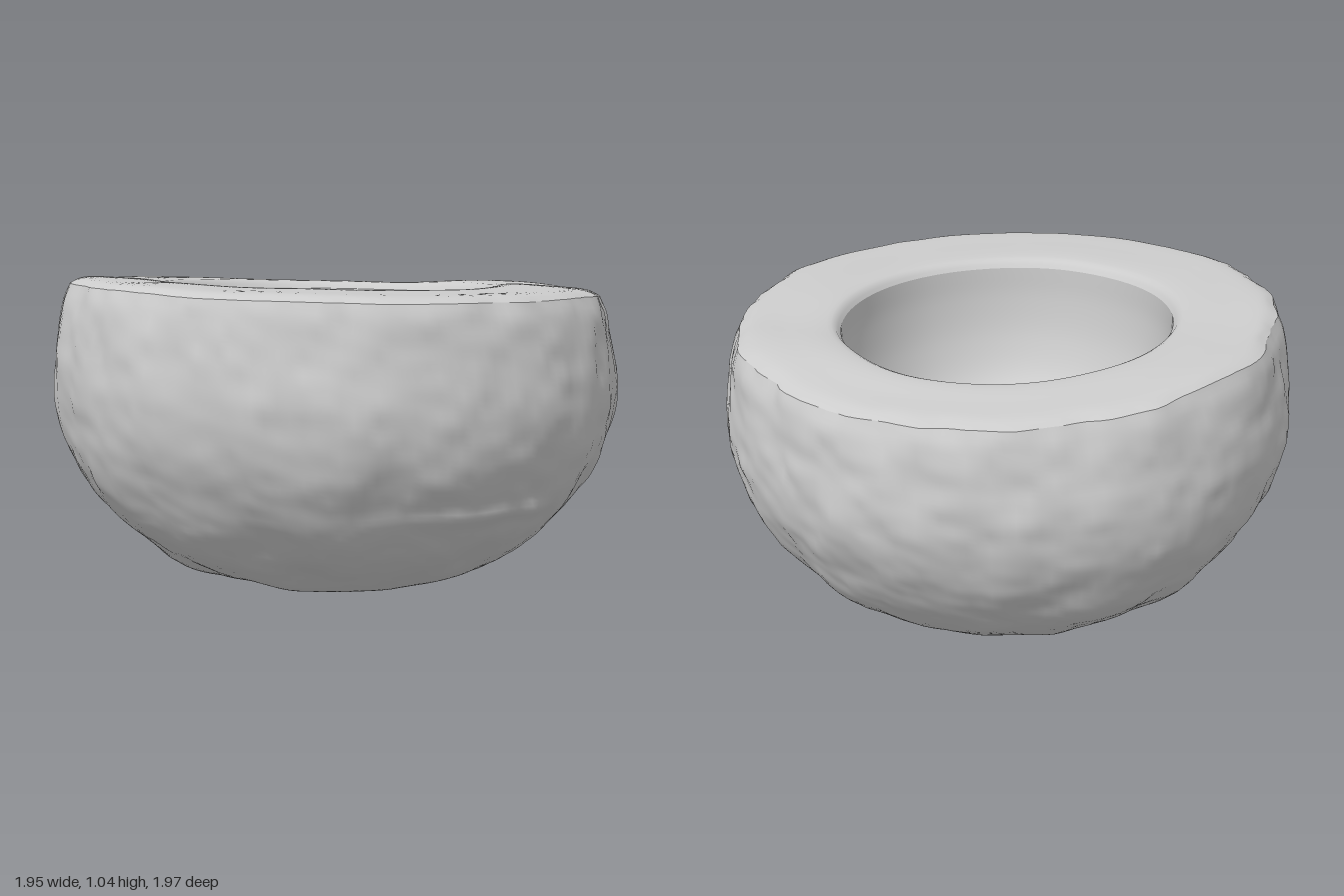
import * as THREE from 'three';
import { mergeVertices } from 'three/addons/utils/BufferGeometryUtils.js';

const { smoothstep, lerp } = THREE.MathUtils;
const SEGMENTS = 160;

// Smooth repeatable 3D value noise in the range -1..1
const hash = (x, y, z) => {
  const s = Math.sin(x * 127.1 + y * 311.7 + z * 74.7) * 43758.5453;
  return (s - Math.floor(s)) * 2 - 1;
};
function noise(x, y, z) {
  const [i, j, k] = [x, y, z].map(Math.floor);
  const [u, v, w] = [x - i, y - j, z - k].map((t) => t * t * (3 - 2 * t));
  const edge = (b, c) => lerp(hash(i, b, c), hash(i + 1, b, c), u);
  const side = (c) => lerp(edge(j, c), edge(j + 1, c), v);
  return lerp(side(k), side(k + 1), w);
}

// Resample a few profile points along a smooth curve
function profile(points, rows) {
  const curve = new THREE.CatmullRomCurve3(points.map(([r, y]) => new THREE.Vector3(r, y, 0)), false, 'centripetal');
  return curve.getSpacedPoints(rows).map((p) => new THREE.Vector2(Math.max(p.x, 0), p.y));
}

// Shared weathering: hewn bumps, a tilted rim, and an off-centre hollow
function weather(p, isInside) {
  const r = Math.hypot(p.x, p.z);
  const { x, y, z } = p;
  const rough = isInside ? smoothstep(r, 0.84, 0.92) : 1;
  const high = smoothstep(y, 0.3, 1);

  // Broad lumps, vertical tool marks and fine pitting
  let bump = 0.014 * noise(x * 3 + 9, y * 3, z * 3)
    + 0.012 * noise(x * 9, y * 5 + 4, z * 9)
    + 0.006 * noise(x * 22, y * 16, z * 22 + 7);
  // Chipped ledge low on the front
  const ledgeY = 0.32 + 0.03 * x;
  bump += 0.022 * Math.exp(-(((y - ledgeY) / 0.025) ** 2))
    * smoothstep(z, 0.6, 0.9) * (1 - smoothstep(Math.abs(x + 0.08), 0.15, 0.4));
  const grow = 1 + bump * rough * smoothstep(r, 0.1, 0.6);
  p.x *= grow;
  p.z *= grow;

  // The rim leans to the right and dips at the back right; the foot is uneven
  p.y += high * (-0.03 * x + 0.012 * z - 0.03 * smoothstep(x - z, 0.5, 1.3) + 0.014 * noise(x * 2.5, 3, z * 2.5));
  p.y += (1 - high) * (isInside ? 0.025 * noise(x * 4, 7, z * 4) : 0.012 * (z - x) + 0.012 * noise(x * 7, 2, z * 7));

  // Shift and gently distort the hollow
  if (isInside) {
    const near = 1 - smoothstep(r, 0.58, 0.88);
    const wobble = 1 + 0.022 * near * noise(x * 3, 5, z * 3);
    p.x = p.x * wobble + 0.03 * near;
    p.z = p.z * wobble - 0.05 * near;
  }
}

function turnedPart(name, points, rows, isInside, material) {
  let geometry = new THREE.LatheGeometry(profile(points, rows), SEGMENTS);
  geometry.deleteAttribute('uv');
  geometry.deleteAttribute('normal');
  geometry = mergeVertices(geometry, 1e-5);
  const position = geometry.attributes.position;
  const p = new THREE.Vector3();
  for (let i = 0; i < position.count; i++) {
    p.fromBufferAttribute(position, i);
    weather(p, isInside);
    position.setXYZ(i, p.x, p.y, p.z);
  }
  geometry.computeVertexNormals();
  const mesh = new THREE.Mesh(geometry, material);
  mesh.name = name;
  return mesh;
}

export function createModel() {
  const stone = new THREE.MeshStandardMaterial({ color: 0xcccccc, roughness: 0.9 });
  const group = new THREE.Group();
  group.name = 'stoneBowl';

  // Rounded outer wall with a flat foot
  group.add(turnedPart('outerWall', [
    [0, 0.03], [0.25, 0.028], [0.48, 0.03], [0.6, 0.08], [0.75, 0.19], [0.86, 0.32],
    [0.94, 0.48], [0.97, 0.66], [0.96, 0.82], [0.94, 0.95], [0.92, 1.0],
  ], 90, false, stone));

  // Broad, nearly flat rim
  group.add(turnedPart('rim', [
    [0.92, 1.0], [0.88, 1.018], [0.75, 1.022], [0.62, 1.018], [0.585, 1.01], [0.565, 0.985],
  ], 26, true, stone));

  // Hollow with steep sides and a rounded floor
  group.add(turnedPart('hollow', [
    [0.565, 0.985], [0.56, 0.87], [0.53, 0.72], [0.46, 0.58], [0.33, 0.48], [0.17, 0.43], [0, 0.42],
  ], 40, true, stone));

  // Rest the foot on the ground
  const box = new THREE.Box3().setFromObject(group);
  group.children.forEach((mesh) => mesh.geometry.translate(0, -box.min.y, 0));
  return group;
}
